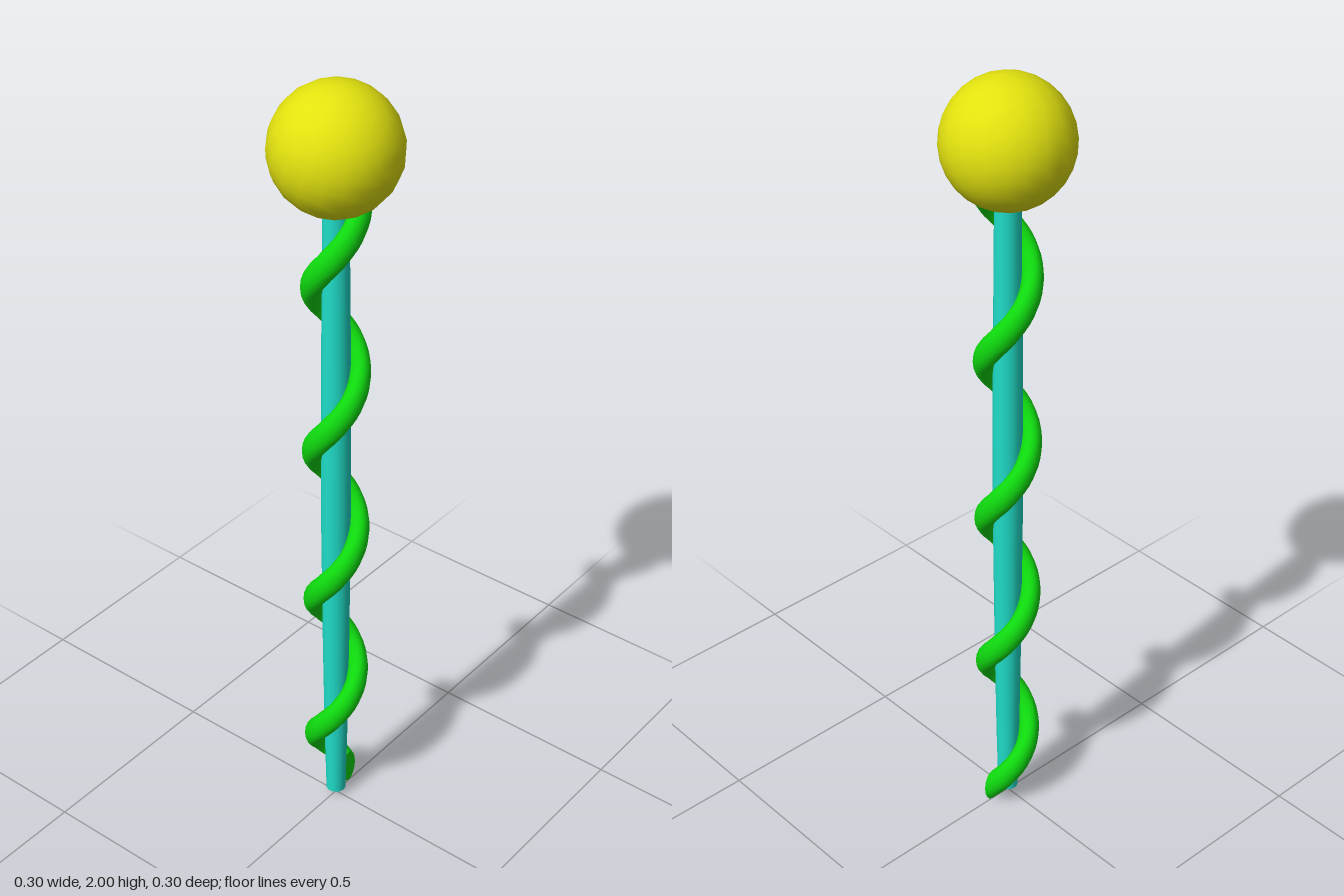
import * as THREE from 'three';

const material = (color) => new THREE.MeshStandardMaterial({ color });

function part(name, geometry, color) {
  const mesh = new THREE.Mesh(geometry, material(color));
  mesh.name = name;
  return mesh;
}

// Helical vine: an upright elliptical section swept around the rod
function vineGeometry({ turns, pitch, startY, radius, halfWidth, halfHeight }) {
  const steps = turns * 32, sides = 16;
  const positions = [], indices = [];

  const addRing = (step) => {
    const first = positions.length / 3;
    const t = (step / steps) * turns * Math.PI * 2;
    const y = startY + (step / steps) * turns * pitch;
    for (let j = 0; j < sides; j++) {
      const p = (j / sides) * Math.PI * 2;
      const r = radius + halfWidth * Math.cos(p);
      positions.push(r * Math.cos(t), y + halfHeight * Math.sin(p), -r * Math.sin(t));
    }
    return first;
  };

  // Skin
  for (let i = 0; i <= steps; i++) addRing(i);
  for (let i = 0; i < steps; i++) {
    for (let j = 0; j < sides; j++) {
      const k = (j + 1) % sides;
      const a = i * sides + j, b = (i + 1) * sides + j;
      const c = i * sides + k, d = (i + 1) * sides + k;
      indices.push(a, b, c, b, d, c);
    }
  }

  // Flat end caps with their own vertices, so the rims stay sharp
  for (const step of [0, steps]) {
    const f = addRing(step);
    for (let j = 1; j < sides - 1; j++) {
      if (step === 0) indices.push(f, f + j, f + j + 1);
      else indices.push(f, f + j + 1, f + j);
    }
  }

  const geometry = new THREE.BufferGeometry();
  geometry.setAttribute('position', new THREE.Float32BufferAttribute(positions, 3));
  geometry.setIndex(indices);
  geometry.computeVertexNormals();
  return geometry;
}

export function createModel() {
  const model = new THREE.Group();
  model.name = 'staff';

  // Slightly swollen rod, narrower at both ends
  const profile = [
    [0.025, 0.02], [0.029, 0.2], [0.033, 0.5], [0.036, 0.9],
    [0.035, 1.25], [0.031, 1.6], [0.03, 1.74],
  ].map(([r, y]) => new THREE.Vector2(r, y));
  const rod = part('rod', new THREE.LatheGeometry(profile, 16), 0x1fdcc8);
  const rodBase = part('rodBase', new THREE.CircleGeometry(0.025, 16), 0x1fdcc8);
  rodBase.rotation.x = Math.PI / 2;
  rodBase.position.y = 0.02;

  // Vine winding four times around the rod
  const vine = part('vine', vineGeometry({
    turns: 4, pitch: 0.436, startY: 0.049,
    radius: 0.054, halfWidth: 0.026, halfHeight: 0.048,
  }), 0x0fdc0f);

  // Ball on top, slightly tilted
  const ball = part('ball', new THREE.SphereGeometry(0.151, 20, 14), 0xe2e20f);
  ball.rotation.set(0.35, 0.2, 0.3);
  ball.position.y = 1.85;

  model.add(rod, rodBase, vine, ball);
  return model;
}
